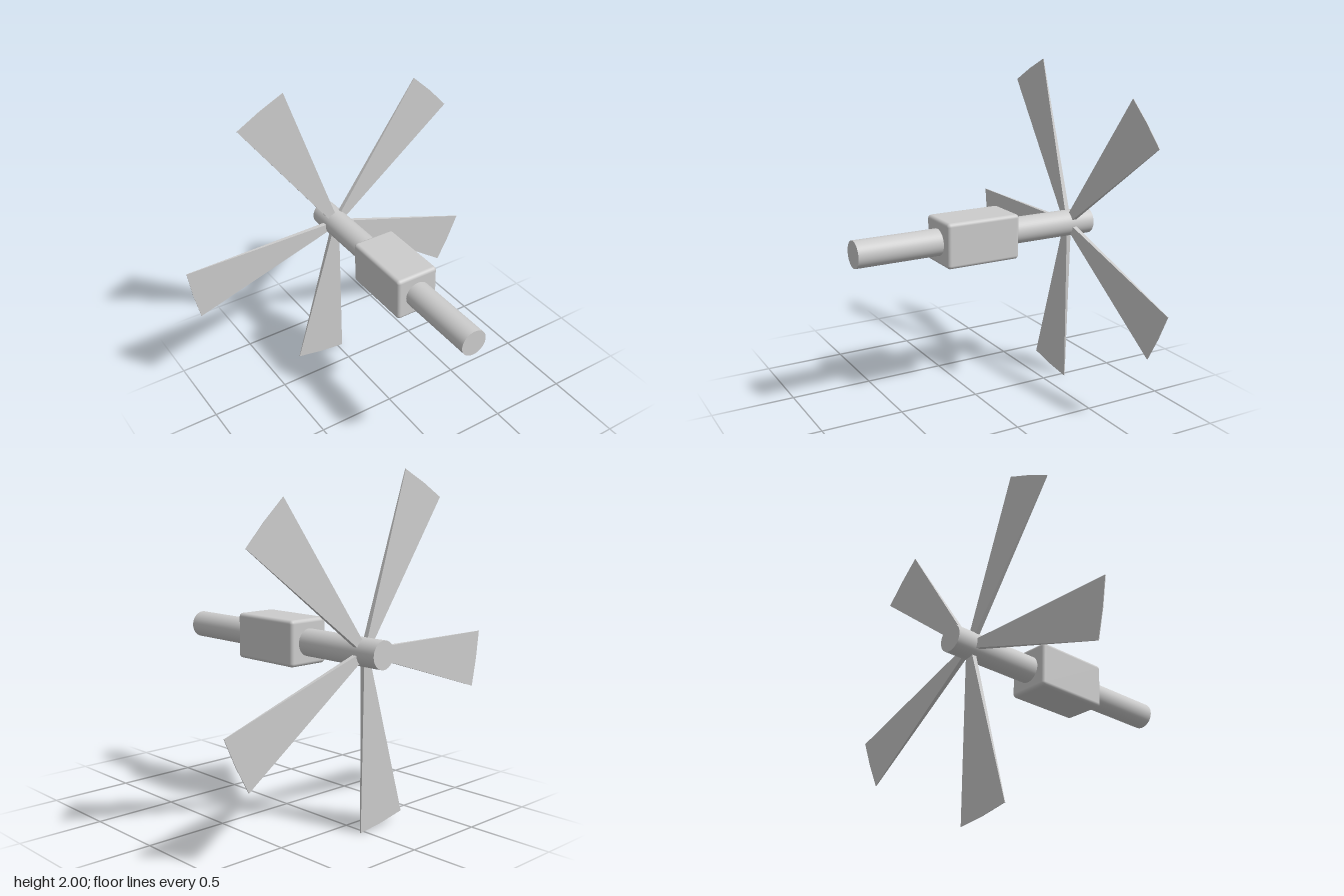
import * as THREE from 'three';
import { RoundedBoxGeometry } from 'three/addons/geometries/RoundedBoxGeometry.js';

const AXIS_X = 0.02, AXIS_Y = 1.025;   // shaft axis
const ROTOR_Z = -0.64;

// Wedge blade along +x: widens and thins from root to tip, tip slightly bowed
function bladeGeometry() {
  const geo = new THREE.BoxGeometry(1, 1, 1, 1, 2, 1);
  const p = geo.attributes.position;
  for (let i = 0; i < p.count; i++) {
    const tip = p.getX(i) > 0, side = p.getY(i) * 2, face = p.getZ(i) * 2;
    const r = tip ? 1.008 + 0.006 * (1 - Math.abs(side)) : 0.04;
    const halfWidth = tip ? 0.17 : 0.022;
    const halfThick = tip ? 0.002 : 0.015;
    p.setXYZ(i, r, side * halfWidth, face * halfThick);
  }
  const flat = geo.toNonIndexed();
  flat.computeVertexNormals();
  return flat;
}

export function createModel() {
  const model = new THREE.Group();
  const mat = new THREE.MeshStandardMaterial({ color: 0xcccccc });

  // Long shaft running front to back
  const shaft = new THREE.Mesh(new THREE.CylinderGeometry(0.08, 0.08, 1.56, 48), mat);
  shaft.name = 'shaft';
  shaft.rotation.x = Math.PI / 2;
  shaft.position.set(AXIS_X, AXIS_Y, 0);
  model.add(shaft);

  // Rounded housing block around the shaft
  const housing = new THREE.Mesh(new RoundedBoxGeometry(0.27, 0.27, 0.47, 4, 0.022), mat);
  housing.name = 'housing';
  housing.position.set(AXIS_X, AXIS_Y, 0.025);
  model.add(housing);

  // Five blades near the rear end
  const rotor = new THREE.Group();
  rotor.name = 'rotor';
  rotor.position.set(AXIS_X, AXIS_Y, ROTOR_Z);
  const geo = bladeGeometry();
  for (let i = 0; i < 5; i++) {
    const blade = new THREE.Mesh(geo, mat);
    blade.name = 'blade' + (i + 1);
    blade.rotation.z = THREE.MathUtils.degToRad(45.1 + 72 * i);
    rotor.add(blade);
  }
  model.add(rotor);
  return model;
}
